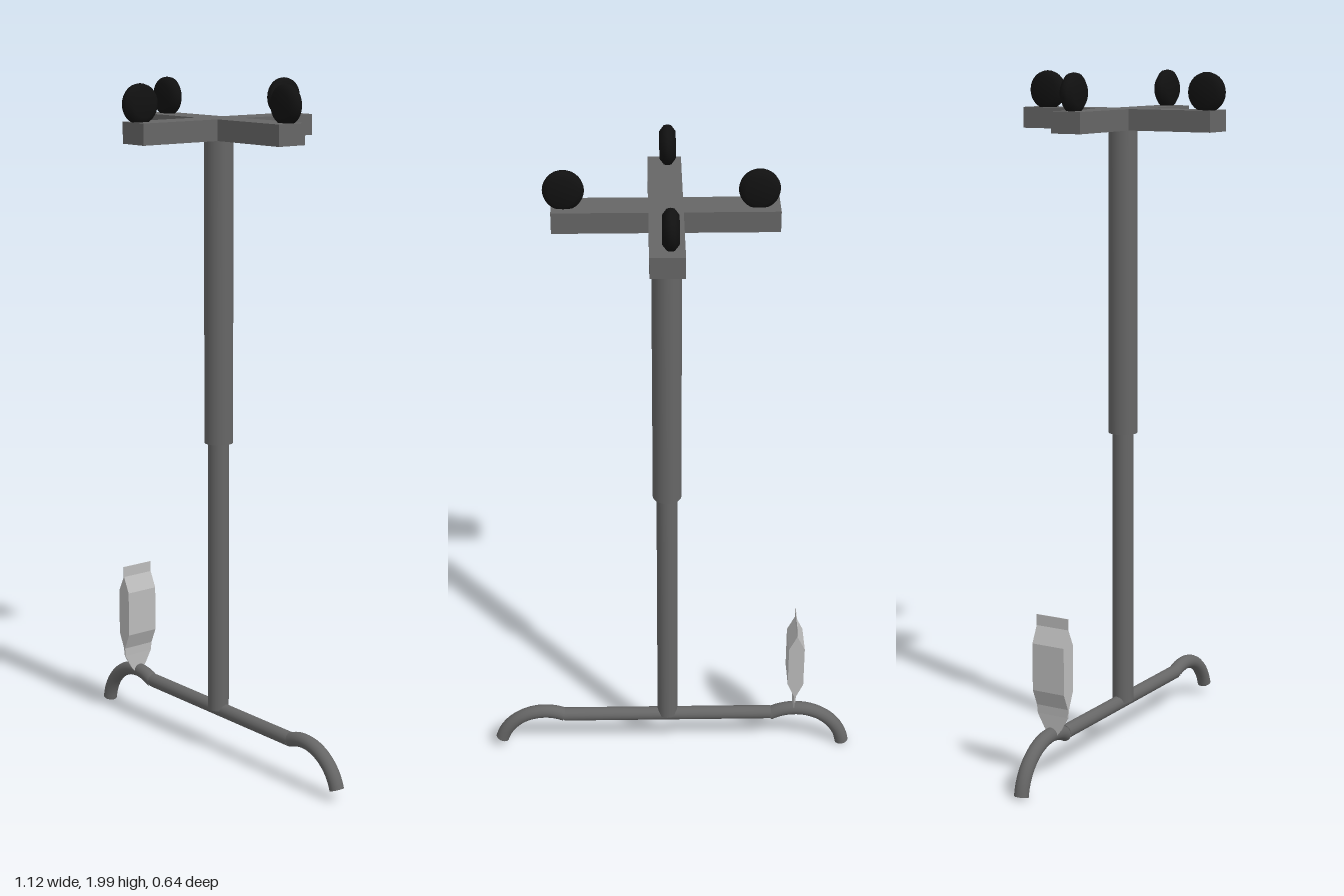
import * as THREE from 'three';

const frameMat = new THREE.MeshStandardMaterial({ color: 0x666666 });
const wheelMat = new THREE.MeshStandardMaterial({ color: 0x111111 });
const bagMat = new THREE.MeshStandardMaterial({ color: 0xbbbbbb, flatShading: true, side: THREE.DoubleSide });

const CX = 0.015, CZ = -0.012;

function add(parent, name, geometry, material, x = 0, y = 0, z = 0) {
  const mesh = new THREE.Mesh(geometry, material);
  mesh.name = name;
  mesh.position.set(x, y, z);
  parent.add(mesh);
  return mesh;
}

// Cross-shaped foot plate
function crossGeometry(reach, half, height) {
  const shape = new THREE.Shape();
  const corners = [];
  for (let i = 0; i < 4; i++) {
    const c = Math.round(Math.cos(i * Math.PI / 2)), s = Math.round(Math.sin(i * Math.PI / 2));
    for (const [x, y] of [[reach, -half], [reach, half], [half, half]]) {
      corners.push(new THREE.Vector2(x * c - y * s, x * s + y * c));
    }
  }
  shape.setFromPoints(corners);
  return new THREE.ExtrudeGeometry(shape, { depth: height, bevelEnabled: false }).rotateX(-Math.PI / 2);
}

// Curved hook at one end of the bar: circular arc swept by a round tube
function hookGeometry(cx, cy, r, from, to) {
  const points = [];
  for (let i = 0; i <= 12; i++) {
    const a = THREE.MathUtils.degToRad(from + (to - from) * i / 12);
    points.push(new THREE.Vector3(cx + r * Math.cos(a), cy + r * Math.sin(a), 0));
  }
  return new THREE.TubeGeometry(new THREE.CatmullRomCurve3(points), 24, 0.021, 16);
}

// Flat cap for a hook tip
function addTip(parent, name, cx, cy, r, deg) {
  const a = THREE.MathUtils.degToRad(deg);
  const tip = add(parent, name, new THREE.CircleGeometry(0.021, 16).rotateX(Math.PI / 2),
    frameMat, cx + r * Math.cos(a), cy + r * Math.sin(a), -0.015);
  tip.rotation.z = deg > 90 ? a - Math.PI : a;
}

// Bag from rectangular sections: [y, half width in x, half width in z]
function bagGeometry() {
  const sections = [
    [0.495, 0.001, 0.052], [0.463, 0.001, 0.052], [0.415, 0.024, 0.052], [0.278, 0.024, 0.052],
    [0.23, 0.003, 0.052], [0.205, 0.002, 0.05], [0.165, 0.002, 0.028], [0.14, 0.002, 0.008],
  ];
  const positions = [], index = [];
  for (const [y, w, d] of sections) positions.push(-w, y, d, w, y, d, w, y, -d, -w, y, -d);
  for (let i = 0; i < sections.length - 1; i++) {
    for (let j = 0; j < 4; j++) {
      const a = i * 4 + j, b = i * 4 + (j + 1) % 4;
      index.push(a, a + 4, b, b, a + 4, b + 4);
    }
  }
  const e = (sections.length - 1) * 4;
  index.push(0, 1, 2, 0, 2, 3, e, e + 2, e + 1, e, e + 3, e + 2);
  const g = new THREE.BufferGeometry();
  g.setAttribute('position', new THREE.Float32BufferAttribute(positions, 3));
  g.setIndex(index);
  g.computeVertexNormals();
  return g;
}

export function createModel() {
  const model = new THREE.Group();
  model.name = 'wheeledStand';

  // Cross and telescopic pole
  add(model, 'crossBase', crossGeometry(0.307, 0.047, 0.06), frameMat, 0.017, 1.835, -0.014);
  add(model, 'outerPole', new THREE.CylinderGeometry(0.042, 0.042, 0.88, 32), frameMat, CX, 1.395, CZ);
  add(model, 'innerPole', new THREE.CylinderGeometry(0.031, 0.031, 0.825, 32), frameMat, CX, 0.5475, CZ);

  // Wheels with chamfered rims, one on each arm
  const profile = [[0, -0.0225], [0.038, -0.0225], [0.054, -0.01], [0.056, 0], [0.054, 0.01], [0.038, 0.0225], [0, 0.0225]]
    .map(([r, y]) => new THREE.Vector2(r, y));
  const wheel = new THREE.LatheGeometry(profile, 28).rotateX(Math.PI / 2);
  for (const [name, x, z, turn] of [
    ['rightWheel', -0.233, -0.022, 0], ['leftWheel', 0.29, -0.022, 0],
    ['frontWheel', 0.008, 0.262, Math.PI / 2], ['backWheel', 0.008, -0.26, Math.PI / 2],
  ]) add(model, name, wheel, wheelMat, x, 1.944, z).rotation.y = turn;

  // Hanger bar with a hook at each end
  const hanger = new THREE.Group();
  hanger.name = 'hanger';
  model.add(hanger);
  add(hanger, 'hangerBar', new THREE.CylinderGeometry(0.021, 0.021, 0.65, 16).rotateZ(Math.PI / 2),
    frameMat, 0.015, 0.132, -0.015);
  add(hanger, 'rightHook', hookGeometry(-0.385, -0.008, 0.155, 60, 172), frameMat, 0, 0, -0.015);
  add(hanger, 'leftHook', hookGeometry(0.4, 0.002, 0.143, 115, 16), frameMat, 0, 0, -0.015);
  addTip(hanger, 'rightHookTip', -0.385, -0.008, 0.155, 172);
  addTip(hanger, 'leftHookTip', 0.4, 0.002, 0.143, 16);

  // Fluid bag over the right hook
  add(model, 'fluidBag', bagGeometry(), bagMat, -0.381, 0, -0.009);
  return model;
}
